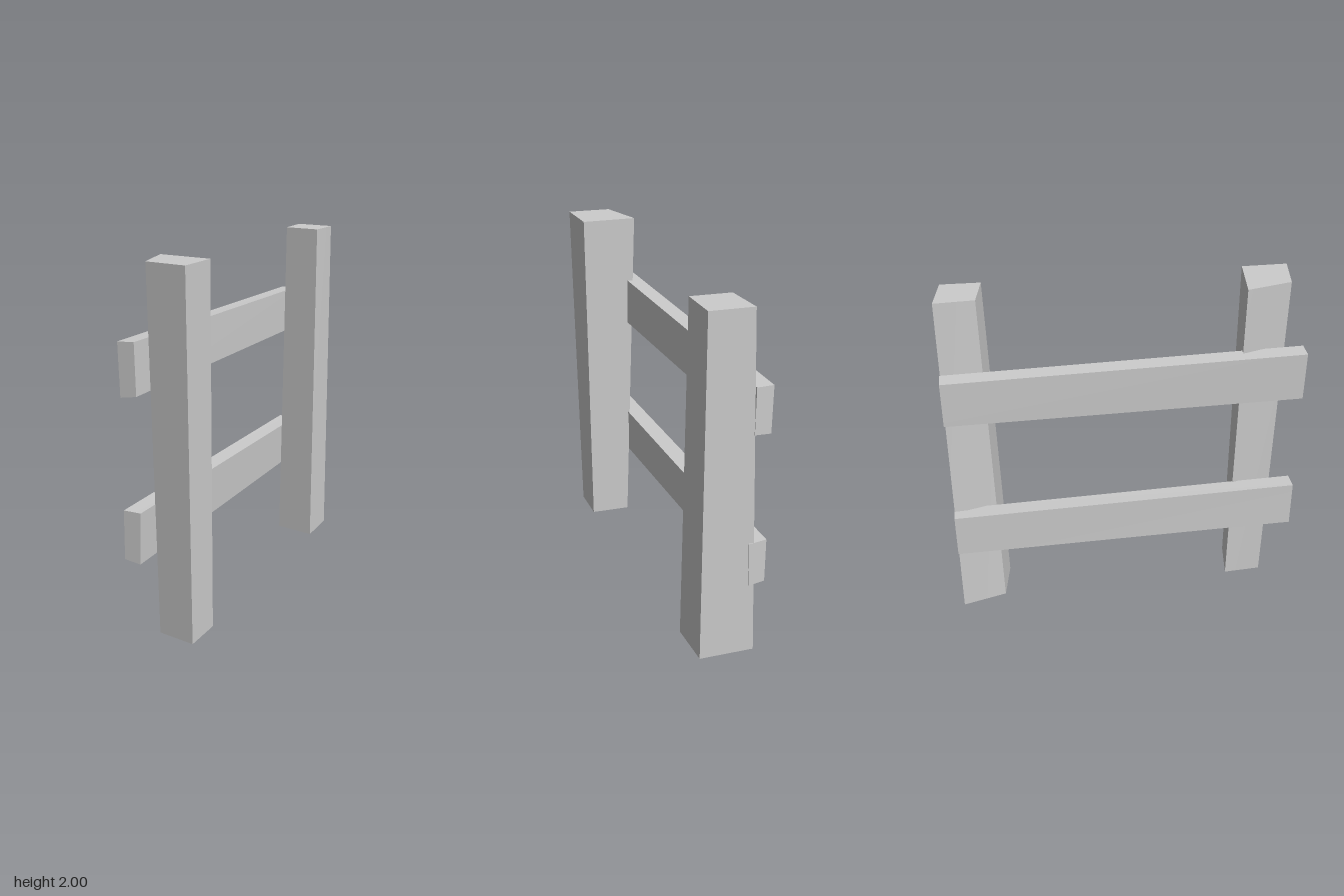
import * as THREE from 'three';

const material = new THREE.MeshStandardMaterial({ color: 0xcccccc });

// Rough-hewn beam: a box whose eight corners are moved to given points.
// Corner order: x fastest, then z, then y (low before high).
function beam(name, corners) {
  const geometry = new THREE.BoxGeometry(1, 1, 1);
  const p = geometry.attributes.position;
  for (let i = 0; i < p.count; i++) {
    const k = (p.getX(i) > 0 ? 1 : 0) + (p.getZ(i) > 0 ? 2 : 0) + (p.getY(i) > 0 ? 4 : 0);
    p.setXYZ(i, ...corners[k]);
  }
  geometry.computeVertexNormals();
  const mesh = new THREE.Mesh(geometry, material);
  mesh.name = name;
  return mesh;
}

// Skewed post sections as [x, z]
const slim = [[-0.06, 0.655], [0.172, 0.69], [-0.05, 0.875], [0.166, 0.91]];
const wide = [[-0.13, 0.65], [0.175, 0.69], [-0.065, 0.905], [0.175, 0.945]];

function post(name, bottom, top, dz) {
  const ring = (section, y) => section.map(([x, z]) => [x, y, z + dz]);
  return beam(name, [...ring(bottom, 0), ...ring(top, 2)]);
}

// Rail from z = -1 to 1; end sections are [x, y]: lower outer, lower inner, upper outer, upper inner
function rail(name, back, front) {
  const at = (section, i, z) => [section[i][0], section[i][1], z];
  return beam(name, [
    at(back, 0, -1), at(back, 1, -1), at(front, 0, 1), at(front, 1, 1),
    at(back, 2, -1), at(back, 3, -1), at(front, 2, 1), at(front, 3, 1),
  ]);
}

export function createModel() {
  const fence = new THREE.Group();
  fence.name = 'fence';
  fence.add(
    // Posts: the back one is the front one turned upside down
    post('frontPost', slim, wide, 0),
    post('backPost', wide, slim, -1.65),
    // Rails taper slightly toward the back
    rail('upperRail',
      [[-0.172, 1.322], [-0.08, 1.33], [-0.175, 1.585], [-0.08, 1.588]],
      [[-0.172, 1.33], [-0.08, 1.345], [-0.18, 1.615], [-0.085, 1.62]]),
    rail('lowerRail',
      [[-0.178, 0.44], [-0.085, 0.433], [-0.178, 0.7], [-0.075, 0.696]],
      [[-0.178, 0.457], [-0.085, 0.445], [-0.175, 0.73], [-0.075, 0.73]]),
  );
  return fence;
}
